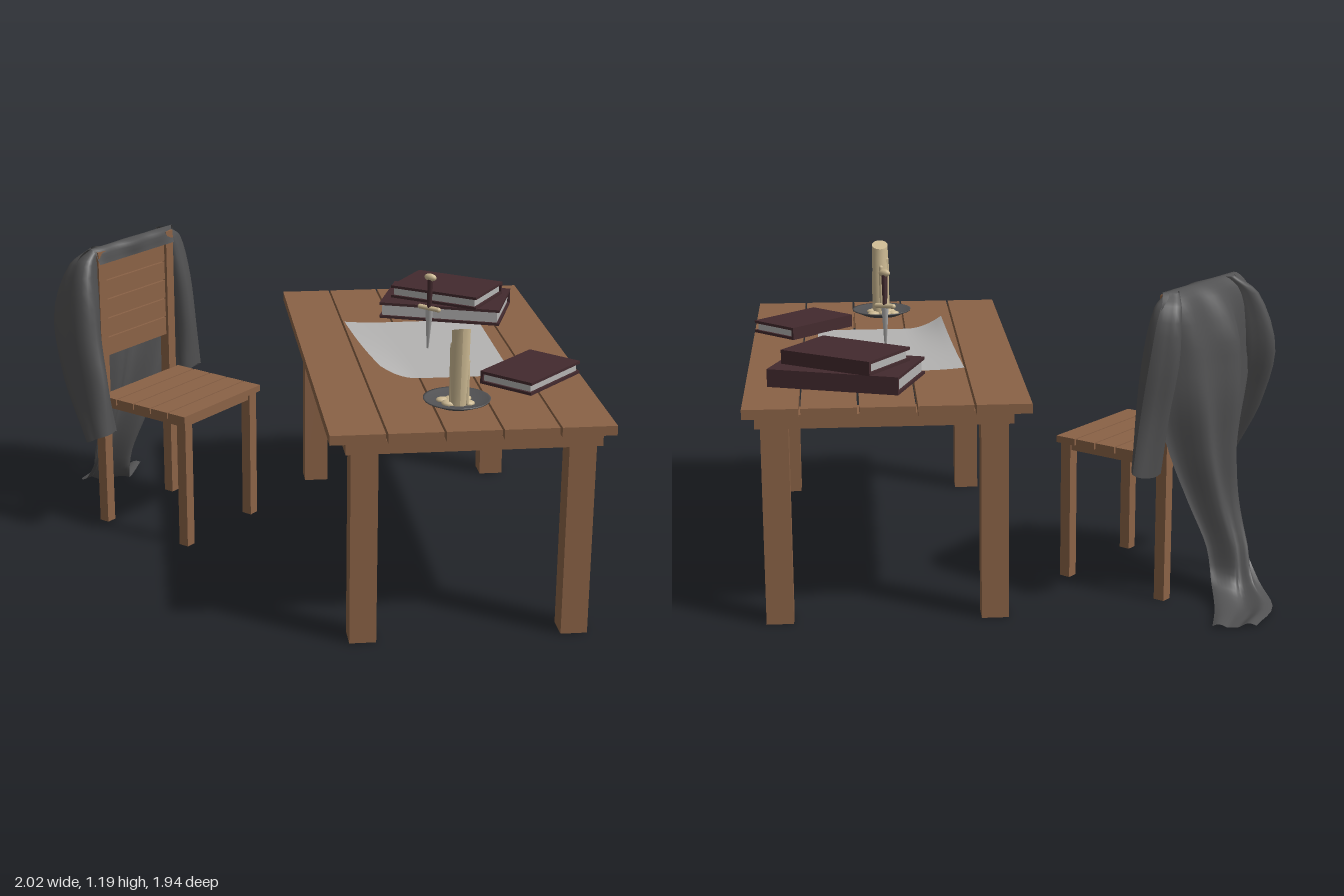
import * as THREE from 'three';

const mat = (name, color, opts = {}) => {
  const m = new THREE.MeshStandardMaterial({ color, ...opts });
  m.name = name;
  return m;
};

export function createModel() {
  const wood = mat('wood', 0x8a6246);
  const cover = mat('book cover', 0x432a2e);
  const paper = mat('paper', 0xb4b3b2, { side: THREE.DoubleSide });
  const wax = mat('wax', 0xcdba93);
  const cloth = mat('cloth', 0x505051, { side: THREE.DoubleSide });
  const iron = mat('iron', 0x525254, { side: THREE.DoubleSide });
  const model = new THREE.Group();

  const group = (name, parent = model) => {
    const g = new THREE.Group();
    g.name = name;
    parent.add(g);
    return g;
  };
  const add = (parent, name, geo, material, x = 0, y = 0, z = 0) => {
    const m = new THREE.Mesh(geo, material);
    m.name = name;
    m.position.set(x, y, z);
    parent.add(m);
    return m;
  };
  // box given by its limits
  const box = (parent, name, material, x0, x1, y0, y1, z0, z1) =>
    add(parent, name, new THREE.BoxGeometry(x1 - x0, y1 - y0, z1 - z0), material,
      (x0 + x1) / 2, (y0 + y1) / 2, (z0 + z1) / 2);
  // grid surface from f(u, v) -> Vector3
  const sheet = (nu, nv, f) => {
    const geo = new THREE.PlaneGeometry(1, 1, nu, nv);
    const p = geo.attributes.position, uv = geo.attributes.uv;
    for (let i = 0; i < p.count; i++) {
      const q = f(uv.getX(i), 1 - uv.getY(i));
      p.setXYZ(i, q.x, q.y, q.z);
    }
    geo.computeVertexNormals();
    return geo;
  };

  // Table
  const table = group('table');
  for (let i = 0; i < 5; i++) {
    const x = -0.04 + i * 0.208;
    box(table, 'tablePlank', wood, x, x + 0.2, 0.8, 0.836, -0.84, 0.98);
  }
  for (const z of [-0.73, 0.09, 0.89]) box(table, 'tableCrossbar', wood, 0.02, 0.95, 0.75, 0.8, z - 0.06, z + 0.06);
  for (const x of [0.09, 0.88]) for (const z of [-0.73, 0.89])
    box(table, 'tableLeg', wood, x - 0.05, x + 0.05, 0.005, 0.75, z - 0.05, z + 0.05);

  // Chair, turned towards the table
  const chair = group('chair');
  chair.position.set(-0.515, 0, -0.315);
  chair.rotation.y = 0.835;
  for (let i = 0; i < 5; i++) {
    const z = -0.225 + i * 0.091;
    box(chair, 'seatPlank', wood, -0.248, 0.248, 0.55, 0.576, z, z + 0.085);
    const y = 0.73 + i * 0.081;
    box(chair, 'backPlank', wood, -0.19, 0.19, y, y + 0.076, -0.255, -0.235);
  }
  for (const s of [-1, 1]) {
    const x = s * 0.21;
    box(chair, 'frontLeg', wood, x - 0.022, x + 0.022, 0.005, 0.55, 0.17, 0.214);
    box(chair, 'backPost', wood, x - 0.022, x + 0.022, 0.005, 1.18, -0.267, -0.223);
    box(chair, 'sideRail', wood, x - 0.015, x + 0.015, 0.522, 0.55, -0.225, 0.18);
  }
  for (const z of [-0.24, 0.0, 0.19]) box(chair, 'seatRail', wood, -0.2, 0.2, 0.522, 0.55, z - 0.015, z + 0.015);

  // Cloak body: rows of [y, xA, zA, xB, zB, bulge], from the rail to the floor
  const rows = [
    [1.13, -0.23, -0.215, 0.23, -0.215, 0], [1.195, -0.25, -0.245, 0.25, -0.245, 0],
    [1.15, -0.29, -0.28, 0.3, -0.28, 0.03], [0.98, -0.31, -0.28, 0.31, -0.26, 0.1],
    [0.78, -0.28, -0.28, 0.29, -0.27, 0.11], [0.58, -0.21, -0.29, 0.22, -0.28, 0.1],
    [0.38, -0.15, -0.32, 0.14, -0.31, 0.09], [0.2, -0.09, -0.4, 0.09, -0.36, 0.08],
    [0.07, -0.03, -0.52, 0.1, -0.39, 0.04], [0.016, 0.05, -0.633, 0.2, -0.47, 0.01],
    [0.01, 0.25, -0.68, 0.36, -0.56, 0],
  ];
  const edge = (k) => new THREE.CatmullRomCurve3(rows.map((r) => new THREE.Vector3(r[k], r[0], r[k + 1])));
  const edgeA = edge(1), edgeB = edge(3);
  const bulge = new THREE.CatmullRomCurve3(rows.map((r) => new THREE.Vector3(r[5], 0, 0)));
  const cloak = group('cloak', chair);
  add(cloak, 'cloakBody', sheet(24, 40, (u, v) => {
    const p = edgeA.getPoint(v).lerp(edgeB.getPoint(v), u);
    const b = bulge.getPoint(v).x;
    p.z -= b * (Math.sin(Math.PI * u) + 0.22 * Math.sin(u * 17 + v * 3));
    p.y = Math.max(0.006, p.y + (v > 0.75 ? 0.01 * Math.sin(u * 9) : 0));
    return p;
  }), cloth);

  // Sleeves hanging beside the posts: [x, y, z, radiusX, radiusZ]
  const sleeve = (name, rings) => {
    const path = new THREE.CatmullRomCurve3(rings.map((r) => new THREE.Vector3(r[0], r[1], r[2])));
    const size = new THREE.CatmullRomCurve3(rings.map((r) => new THREE.Vector3(r[3], 0, r[4])));
    add(cloak, name, sheet(20, 16, (u, v) => {
      const p = path.getPoint(v), s = size.getPoint(v), a = u * Math.PI * 2;
      const fold = 1 + 0.14 * Math.sin(3 * a + 2 * v);
      return p.add(new THREE.Vector3(s.x * Math.cos(a) * fold, 0.025 * v * Math.sin(a), s.z * Math.sin(a) * fold));
    }), cloth);
  };
  sleeve('rightSleeve', [[-0.2, 1.19, -0.26, 0.03, 0.02], [-0.255, 1.13, -0.28, 0.05, 0.06],
    [-0.3, 0.9, -0.28, 0.065, 0.11], [-0.325, 0.68, -0.22, 0.065, 0.1], [-0.335, 0.44, -0.14, 0.07, 0.05]]);
  sleeve('leftSleeve', [[0.2, 1.19, -0.26, 0.03, 0.02], [0.255, 1.14, -0.27, 0.045, 0.05],
    [0.29, 0.95, -0.26, 0.055, 0.07], [0.305, 0.75, -0.24, 0.06, 0.06], [0.32, 0.54, -0.23, 0.075, 0.04]]);

  // Books with the spine on the local -z side
  const book = (name, x, y, z, w, h, d, turn) => {
    const g = group(name);
    g.position.set(x, y, z);
    g.rotation.y = turn;
    const t = 0.011;
    box(g, 'lowerCover', cover, -w / 2, w / 2, 0, t, -d / 2, d / 2);
    box(g, 'upperCover', cover, -w / 2, w / 2, h - t, h, -d / 2, d / 2);
    box(g, 'spine', cover, -w / 2, w / 2, t, h - t, -d / 2, -d / 2 + t);
    box(g, 'pages', paper, -w / 2 + 0.01, w / 2 - 0.01, t, h - t, -d / 2 + t, d / 2 - 0.01);
  };
  book('largeBook', 0.617, 0.842, -0.465, 0.504, 0.067, 0.334, -0.336);
  book('mediumBook', 0.62, 0.91, -0.46, 0.39, 0.053, 0.275, -0.6);
  book('smallBook', 0.79, 0.838, 0.437, 0.34, 0.05, 0.228, 0.785);

  // Paper sheet with its front right corner curling up
  add(model, 'paperSheet', sheet(20, 12, (u, v) => {
    const lift = Math.pow(Math.max(0, 1 - u * 3.5), 2) * (0.008 + 0.045 * v * v);
    return new THREE.Vector3(0.17 + 0.56 * u + 0.05 * v * (1 - u), 0.84 + lift, -0.33 + 0.73 * v);
  }), paper);

  // Dagger standing in the table
  const dagger = group('dagger');
  dagger.position.set(0.46, 0.835, 0.035);
  dagger.rotation.set(0.1, 0.95, 0, 'XYZ');
  const blade = add(dagger, 'blade', new THREE.CylinderGeometry(0.017, 0.004, 0.175, 4), paper, 0, 0.0875, 0);
  blade.scale.x = 0.3;
  const guard = add(dagger, 'guard', new THREE.CapsuleGeometry(0.01, 0.08, 4, 8), wax, 0, 0.178, 0);
  guard.rotation.x = Math.PI / 2;
  add(dagger, 'grip', new THREE.CylinderGeometry(0.012, 0.009, 0.12, 10), cover, 0, 0.242, 0);
  const pommel = add(dagger, 'pommel', new THREE.SphereGeometry(0.022, 12, 8), wax, 0, 0.308, 0);
  pommel.scale.set(0.6, 0.7, 1.2);

  // Dish and candle
  const dish = [[0, 0.002], [0.075, 0.002], [0.122, 0.022], [0.125, 0.028], [0.118, 0.026], [0.074, 0.01], [0, 0.01]];
  add(model, 'dish', new THREE.LatheGeometry(dish.map(([x, y]) => new THREE.Vector2(x, y)), 28), iron, 0.46, 0.836, 0.7);
  const body = new THREE.CylinderGeometry(0.034, 0.034, 0.29, 16, 6);
  const p = body.attributes.position;
  for (let i = 0; i < p.count; i++) {
    const t = p.getY(i) / 0.29 + 0.5;
    const z = p.getZ(i);
    p.setY(i, p.getY(i) + t * z * 0.4);
    p.setZ(i, z + 0.022 * t);
  }
  body.computeVertexNormals();
  add(model, 'candle', body, wax, 0.463, 0.99, 0.717);
  // pooled and dripping wax
  for (const [x, z, r] of [[0.41, 0.675, 0.024], [0.445, 0.67, 0.028], [0.495, 0.665, 0.026], [0.43, 0.715, 0.03], [0.5, 0.72, 0.024]])
    add(model, 'waxPool', new THREE.SphereGeometry(r, 10, 6), wax, x, 0.848, z).scale.y = 0.45;
  for (const [x, z, h] of [[0.435, 0.725, 0.22], [0.49, 0.735, 0.16], [0.46, 0.692, 0.19]])
    add(model, 'waxDrip', new THREE.CapsuleGeometry(0.009, h, 3, 8), wax, x, 0.855 + h / 2, z);

  return model;
}
